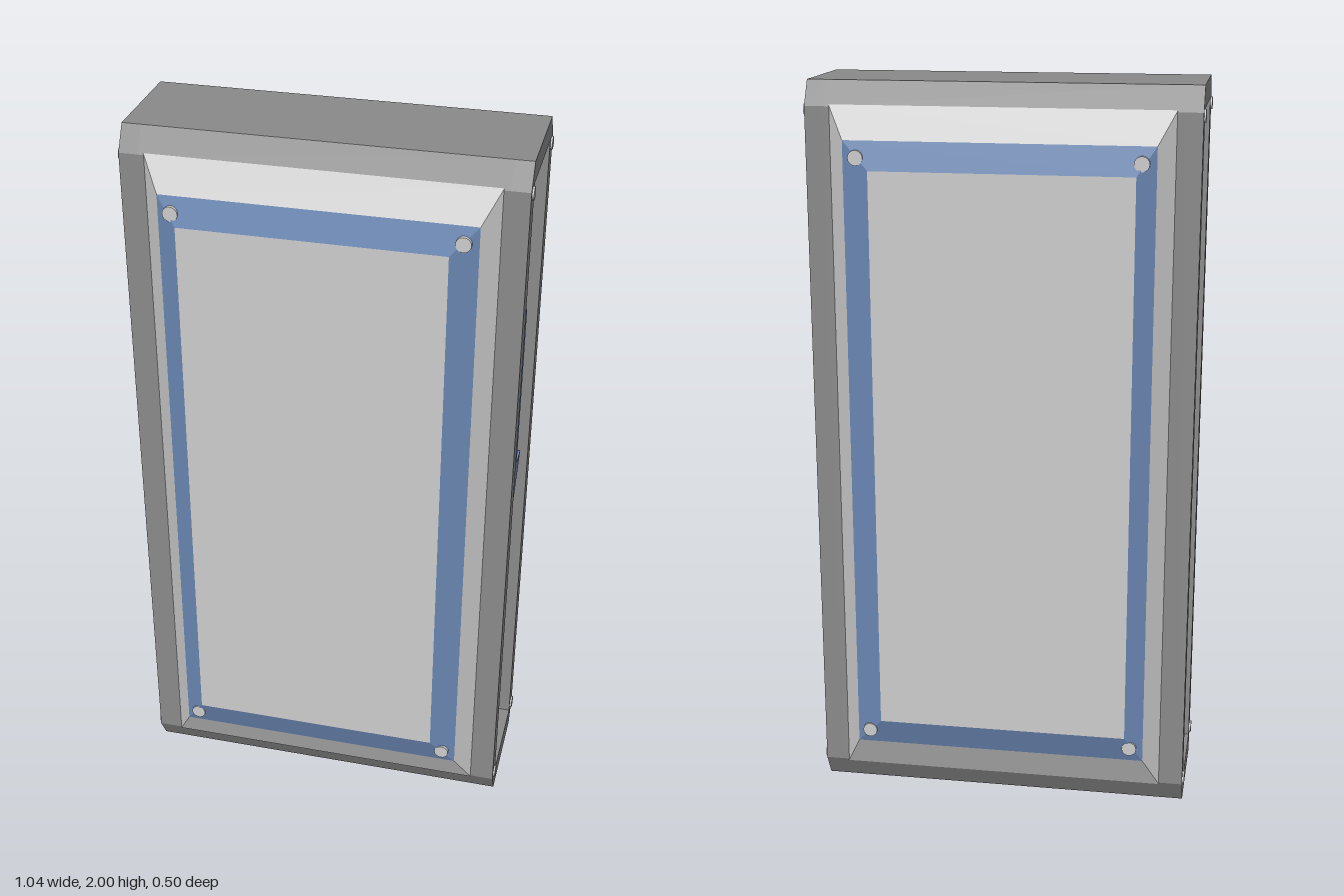
import * as THREE from 'three';

const mat = (color) => new THREE.MeshStandardMaterial({ color });
const light = new THREE.MeshStandardMaterial({ color: 0xcccccc });
const dark = mat(0x8a8a8a);
const blue = mat(0x6a86b2);

function add(parent, name, geometry, material) {
  const mesh = new THREE.Mesh(geometry, material);
  mesh.name = name;
  parent.add(mesh);
  return mesh;
}

// Extrudes a (z, y) outline along x, from x0 to x1
function extrudeX(points, x0, x1, hole) {
  const toV = ([z, y]) => new THREE.Vector2(-z, y);
  const shape = new THREE.Shape(points.map(toV));
  if (hole) shape.holes.push(new THREE.Path(hole.map(toV)));
  const g = new THREE.ExtrudeGeometry(shape, { depth: x1 - x0, bevelEnabled: false });
  return g.rotateY(Math.PI / 2).translate(x0, 0, 0);
}

// Four sloping sides between two rectangles given as [x0, x1, y0, y1, z]
function slopedRing(outer, inner) {
  const corners = ([x0, x1, y0, y1, z]) => [[x0, y0, z], [x1, y0, z], [x1, y1, z], [x0, y1, z]];
  const o = corners(outer), n = corners(inner), pos = [];
  for (let i = 0; i < 4; i++) {
    const j = (i + 1) % 4;
    pos.push(...o[i], ...o[j], ...n[j], ...o[i], ...n[j], ...n[i]);
  }
  const g = new THREE.BufferGeometry();
  g.setAttribute('position', new THREE.Float32BufferAttribute(pos, 3));
  g.computeVertexNormals();
  return g;
}

// Front or back cover: bezel, coloured frame, panel and screws
function createCover() {
  const cover = new THREE.Group();
  const base = [-0.45, 0.45, 0.06, 1.94, 0.184];
  const mid = [-0.405, 0.405, 0.153, 1.855, 0.23];
  const top = [-0.355, 0.335, 0.228, 1.78, 0.252];
  add(cover, 'bezel', slopedRing(base, mid), light);
  add(cover, 'colouredFrame', slopedRing(mid, top), blue);
  const panel = new THREE.PlaneGeometry(top[1] - top[0], top[3] - top[2]);
  panel.translate((top[0] + top[1]) / 2, (top[2] + top[3]) / 2, top[4]);
  add(cover, 'panel', panel, light);
  for (const x of [-0.368, 0.368]) for (const y of [0.195, 1.812]) {
    const screw = new THREE.CylinderGeometry(0.02, 0.02, 0.024, 16).rotateX(Math.PI / 2);
    add(cover, 'coverScrew', screw, light).position.set(x, y, 0.235);
  }
  return cover;
}

// Recessed side: rim, floor panel, two opposed arrows and screws
function createSide(outline) {
  const side = new THREE.Group();
  const opening = [[-0.135, 0.06], [-0.135, 1.94], [0.135, 1.94], [0.135, 0.06]];
  add(side, 'sideRim', extrudeX(outline, 0.465, 0.515, opening), dark);
  add(side, 'sidePanel', extrudeX(opening, 0.46, 0.468), light);
  const arrow = [[0.01, 0.58], [0.01, 1.21], [0.122, 1.06], [0.057, 1.06], [0.057, 0.58]];
  const turned = arrow.map(([z, y]) => [-z, 2.083 - y]);
  add(side, 'upArrow', extrudeX(arrow, 0.466, 0.495), blue);
  add(side, 'downArrow', extrudeX(turned, 0.466, 0.495), blue);
  for (const z of [-0.16, 0.16]) for (const y of [0.075, 1.925]) {
    const screw = new THREE.CylinderGeometry(0.017, 0.017, 0.02, 16).rotateZ(Math.PI / 2);
    add(side, 'sideScrew', screw, light).position.set(0.51, y, z);
  }
  return side;
}

export function createModel() {
  const model = new THREE.Group();
  model.name = 'flatCase';

  // Case body with chamfered top and bottom edges
  const outline = [
    [-0.148, 0], [-0.185, 0.065], [-0.185, 1.935], [-0.148, 2],
    [0.148, 2], [0.185, 1.935], [0.185, 0.065], [0.148, 0],
  ];
  add(model, 'caseBody', extrudeX(outline, -0.465, 0.465), dark);

  // Covers and sides, mirrored
  for (const s of [1, -1]) {
    const cover = createCover();
    cover.name = s > 0 ? 'frontCover' : 'backCover';
    cover.scale.z = s;
    const side = createSide(outline);
    side.name = s > 0 ? 'leftSide' : 'rightSide';
    side.scale.x = s;
    model.add(cover, side);
  }
  return model;
}
